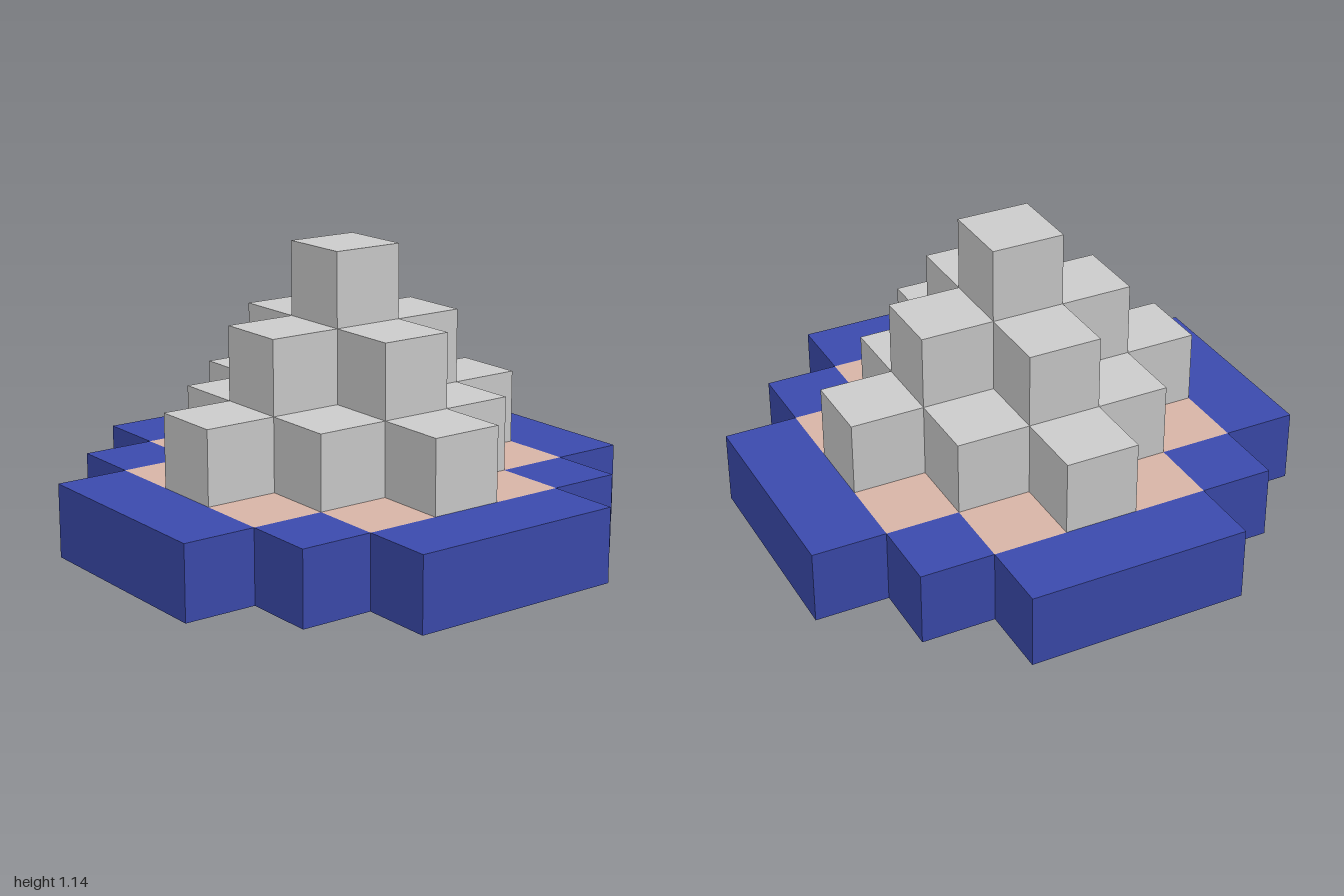
import * as THREE from 'three';

const U = 2 / 7; // edge of one block

// Stepped outline: halfWidths[k] is the half width, in blocks, of row k counted from the middle row.
function steppedOutline(halfWidths) {
  const quarter = [];
  halfWidths.forEach((w, k) => {
    if (k > 0 && w === halfWidths[k - 1]) quarter.pop();
    else if (k > 0) quarter.push([w, k - 0.5]);
    quarter.push([w, k + 0.5]);
  });
  const flip = (sx, sy, list) => list.map(([x, y]) => new THREE.Vector2(sx * x * U, sy * y * U));
  const back = [...quarter].reverse();
  return [...flip(1, 1, quarter), ...flip(-1, 1, back), ...flip(-1, -1, quarter), ...flip(1, -1, back)];
}

// One layer of blocks, one block high, standing on the given level
function layer(name, halfWidths, level, color, holeWidths) {
  const shape = new THREE.Shape(steppedOutline(halfWidths));
  if (holeWidths) shape.holes.push(new THREE.Path(steppedOutline(holeWidths)));
  const geometry = new THREE.ExtrudeGeometry(shape, { depth: U, bevelEnabled: false });
  geometry.rotateX(-Math.PI / 2);
  const mesh = new THREE.Mesh(geometry, new THREE.MeshStandardMaterial({ color }));
  mesh.name = name;
  mesh.position.y = level * U;
  return mesh;
}

export function createModel() {
  const model = new THREE.Group();
  model.name = 'steppedPyramid';

  // Base: coloured rim around an inner floor
  const floor = [2.5, 2.5, 1.5];
  model.add(layer('baseRim', [3.5, 3.5, 2.5, 1.5], 0, 0x3b4aac, floor));
  model.add(layer('baseFloor', floor, 0, 0xd7b4a6));

  // Grey diamond steps, each one block smaller than the one below
  [[2.5, 1.5, 0.5], [1.5, 0.5], [0.5]].forEach((rows, i) => {
    model.add(layer('pyramidStep' + (i + 1), rows, i + 1, 0xcccccc));
  });
  return model;
}
